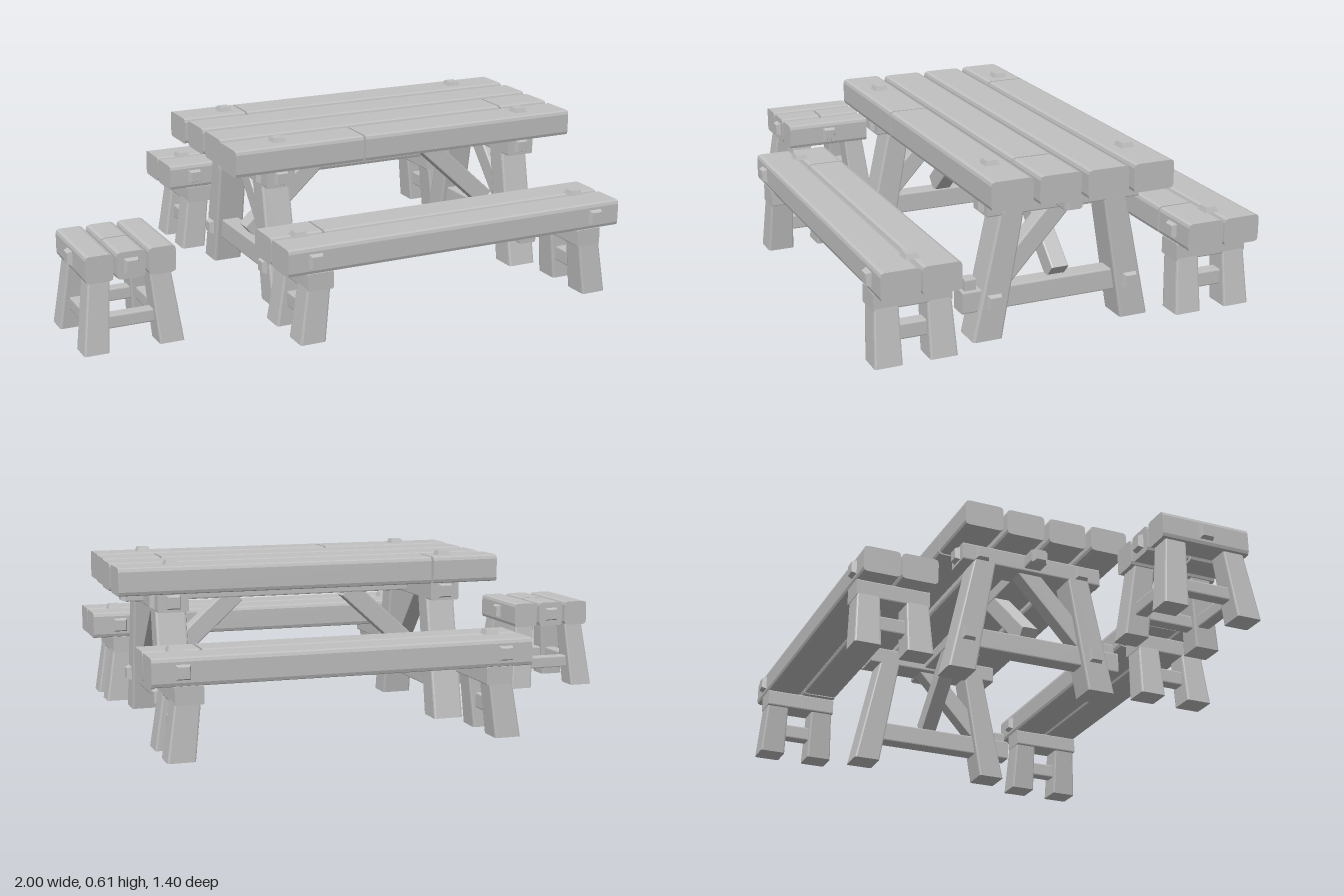
import * as THREE from 'three';

const wood = new THREE.MeshStandardMaterial({ color: 0xc0c0c0 });
wood.name = 'plain grey';

// Cross-section with softened corners, swept along z
function sweep(w, h, len, r) {
  const x = w / 2, y = h / 2, s = new THREE.Shape();
  s.moveTo(-x + r, -y); s.lineTo(x - r, -y);
  s.quadraticCurveTo(x, -y, x, -y + r); s.lineTo(x, y - r);
  s.quadraticCurveTo(x, y, x - r, y); s.lineTo(-x + r, y);
  s.quadraticCurveTo(-x, y, -x, y - r); s.lineTo(-x, -y + r);
  s.quadraticCurveTo(-x, -y, -x + r, -y);
  const g = new THREE.ExtrudeGeometry(s, { depth: len, bevelEnabled: false, curveSegments: 2 });
  return g.translate(0, 0, -len / 2);
}

function add(parent, name, geometry) {
  const m = new THREE.Mesh(geometry, wood);
  m.name = name;
  parent.add(m);
  return m;
}

// Straight timber from a to b; w is its horizontal width, h its height
function bar(parent, name, a, b, w, h, r = 0.005) {
  const A = new THREE.Vector3(...a), B = new THREE.Vector3(...b);
  const m = add(parent, name, sweep(w, h, A.distanceTo(B), r));
  m.position.copy(A).add(B).multiplyScalar(0.5);
  m.lookAt(B);
}

// Splayed, tapered leg: [x, z, width, depth] at the foot and at the top
function leg(parent, name, foot, top, height) {
  const g = sweep(1, 1, 1, 0.07).rotateX(-Math.PI / 2).translate(0, 0.5, 0);
  const p = g.attributes.position;
  for (let i = 0; i < p.count; i++) {
    const t = p.getY(i), [cx, cz, w, d] = foot.map((v, k) => v + (top[k] - v) * t);
    p.setXYZ(i, cx + p.getX(i) * w, t * height, cz + p.getZ(i) * d);
  }
  g.computeVertexNormals();
  add(parent, name, g);
}

// Square bolt head sitting on a face with the given outward normal
function bolt(parent, pos, normal) {
  const g = new THREE.CylinderGeometry(0.027, 0.036, 0.018, 4).rotateY(Math.PI / 4).translate(0, 0.008, 0).toNonIndexed();
  g.computeVertexNormals();
  const m = add(parent, 'bolt', g);
  m.position.set(...pos);
  m.quaternion.setFromUnitVectors(new THREE.Vector3(0, 1, 0), new THREE.Vector3(...normal));
}

// Plank along x, optionally cut in two at x = cut
function plank(parent, x0, x1, y, z, w, h, cut) {
  const ends = cut === undefined ? [[x0, x1]] : [[x0, cut - 0.004], [cut + 0.004, x1]];
  for (const [a, b] of ends) bar(parent, 'plank', [a, y, z], [b, y, z], w, h, 0.014);
}

const MID = 0.305; // centre of the table and benches along x

function buildTable() {
  const t = new THREE.Group();
  t.name = 'table';
  plank(t, -0.38, 1.0, 0.543, -0.248, 0.146, 0.096, -0.13);
  plank(t, -0.375, 1.0, 0.543, -0.083, 0.146, 0.096);
  plank(t, -0.375, 0.992, 0.543, 0.083, 0.146, 0.096, 0.785);
  plank(t, -0.385, 0.985, 0.543, 0.248, 0.146, 0.096, 0.115);
  bar(t, 'centreBeam', [-0.31, 0.463, 0], [0.92, 0.463, 0], 0.066, 0.048);
  for (const s of [-1, 1]) {
    const x = MID + s * 0.5, out = x + s * 0.055;
    bar(t, 'crossBeam', [x, 0.461, -0.276], [x, 0.461, 0.276], 0.108, 0.066);
    bar(t, 'lowerRail', [x, 0.136, -0.25], [x, 0.136, 0.355], 0.068, 0.076);
    bar(t, 'railPeg', [x, 0.188, 0.302], [x, 0.188, 0.342], 0.045, 0.05);
    bar(t, 'lengthwiseBrace', [x + s * 0.01, 0.185, 0], [x - s * 0.285, 0.452, 0], 0.062, 0.07);
    bar(t, 'sideBrace', [x, 0.2, 0.21], [x, 0.45, -0.02], 0.06, 0.07);
    bolt(t, [MID + s * 0.615, 0.463, 0], [s, 0, 0]);
    for (const q of [-1, 1]) {
      leg(t, 'tableLeg', [x, q * 0.272, 0.11, 0.104], [x, q * 0.187, 0.108, 0.084], 0.44);
      bolt(t, [x, 0.59, q * 0.245], [0, 1, 0]);
      bolt(t, [x, 0.463, q * 0.276], [0, 0, q]);
      bolt(t, [out - s * 0.001, 0.461, q * 0.2], [s, 0, 0]);
      bolt(t, [out, 0.135, q * 0.25], [s, 0, 0]);
    }
  }
  return t;
}

function buildBench(side, cut) {
  const b = new THREE.Group(), z = side * 0.547;
  b.name = side > 0 ? 'frontBench' : 'backBench';
  plank(b, -0.355, 0.967, 0.293, z + side * 0.07, 0.134, 0.096);
  plank(b, -0.355, 0.967, 0.293, z - side * 0.07, 0.134, 0.096, cut);
  for (const s of [-1, 1]) {
    const x = MID + s * 0.54, xb = MID + s * 0.56, foot = MID + s * 0.57;
    bar(b, 'seatSupport', [x, 0.216, z - 0.135], [x, 0.216, z + 0.135], 0.096, 0.062);
    bar(b, 'benchRail', [x + s * 0.015, 0.098, z - 0.09], [x + s * 0.015, 0.098, z + 0.09], 0.05, 0.054);
    bolt(b, [xb, 0.341, z], [0, 1, 0]);
    for (const q of [-1, 1]) {
      leg(b, 'benchLeg', [foot, z + q * 0.095, 0.094, 0.096], [x + s * 0.004, z + q * 0.09, 0.086, 0.084], 0.2);
      bolt(b, [xb, 0.293, z + q * 0.137], [0, 0, q]);
    }
  }
  return b;
}

function buildStool() {
  const g = new THREE.Group();
  g.name = 'stool';
  for (const x of [-0.11, 0.11]) bar(g, 'seatPlank', [x, 0.293, -0.163], [x, 0.293, 0.163], 0.096, 0.094, 0.014);
  for (const q of [-1, 1]) {
    bar(g, 'seatPlank', [0, 0.293, q * 0.004], [0, 0.293, q * 0.163], 0.1, 0.094, 0.014);
    bolt(g, [0, 0.293, q * 0.163], [0, 0, q]);
    bolt(g, [q * 0.158, 0.293, 0], [q, 0, 0]);
    bar(g, 'stoolRail', [-0.12, 0.093, q * 0.12], [0.12, 0.093, q * 0.12], 0.045, 0.046);
    bar(g, 'stoolRail', [q * 0.12, 0.093, -0.12], [q * 0.12, 0.093, 0.12], 0.045, 0.046);
    for (const s of [-1, 1])
      leg(g, 'stoolLeg', [s * 0.133, q * 0.135, 0.088, 0.088], [s * 0.106, q * 0.108, 0.076, 0.076], 0.26);
  }
  g.position.set(-0.822, 0, 0.293);
  return g;
}

export function createModel() {
  const model = new THREE.Group();
  model.name = 'picnicSet';
  model.add(buildTable(), buildBench(1, -0.157), buildBench(-1, 0.772), buildStool());
  return model;
}
